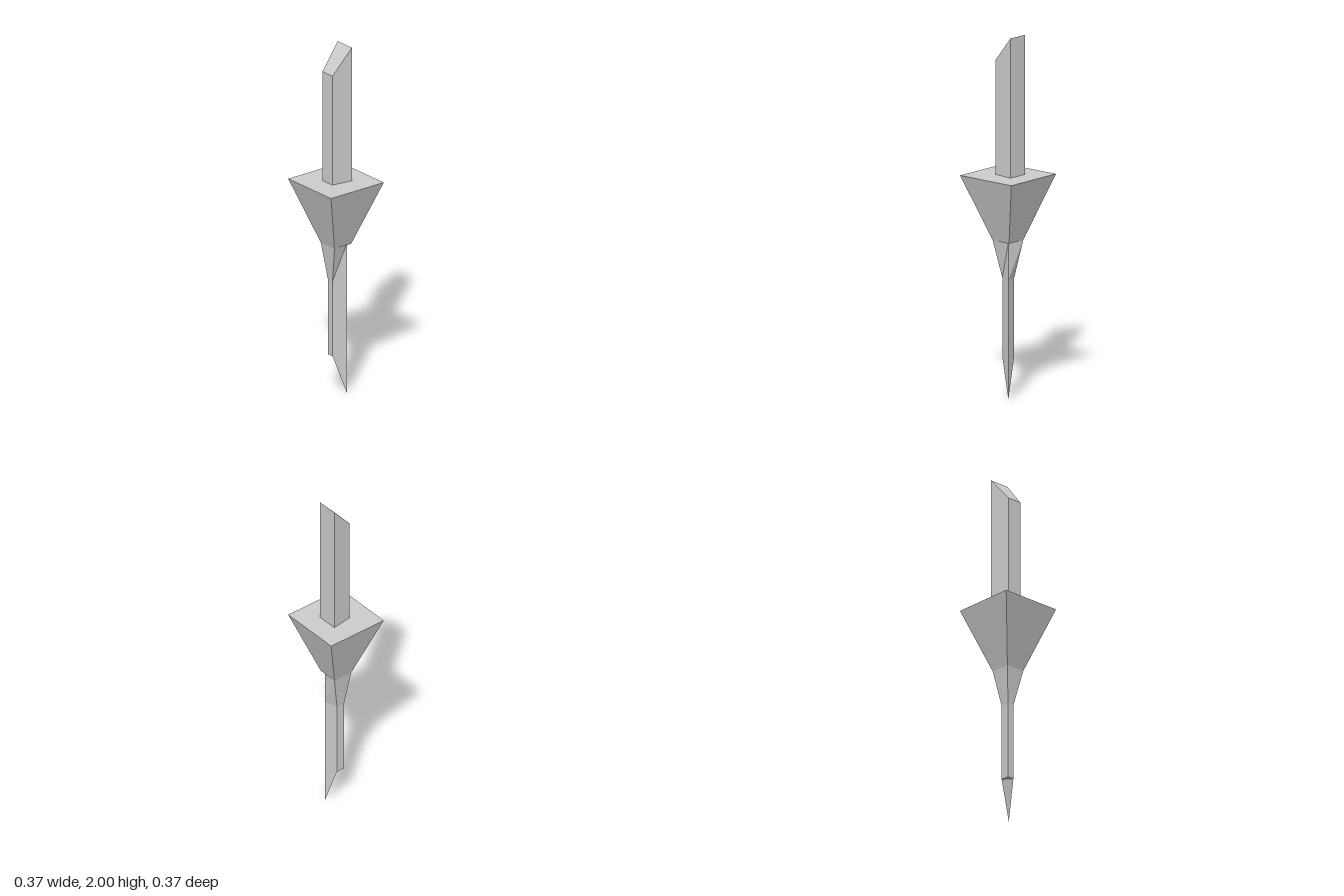
import * as THREE from 'three';

const material = new THREE.MeshStandardMaterial({ color: 0xcccccc, flatShading: true });

// Lofts four-cornered rings [x, y, z], listed bottom to top and counterclockwise from above
function loft(name, rings) {
  const points = [];
  const tri = (a, b, c) => points.push(...a, ...b, ...c);
  for (let r = 0; r < rings.length - 1; r++) {
    const low = rings[r], high = rings[r + 1];
    for (let i = 0; i < 4; i++) {
      const j = (i + 1) % 4;
      tri(low[i], low[j], high[j]);
      tri(low[i], high[j], high[i]);
    }
  }
  const [a, b, c, d] = rings[0];
  tri(a, d, b);
  tri(b, d, c);
  const [e, f, g, h] = rings[rings.length - 1];
  tri(e, f, g);
  tri(e, g, h);
  const geometry = new THREE.BufferGeometry();
  geometry.setAttribute('position', new THREE.Float32BufferAttribute(points, 3));
  geometry.computeVertexNormals();
  const mesh = new THREE.Mesh(geometry, material);
  mesh.name = name;
  return mesh;
}

// Puts a flat outline of [x, z] corners at a height, or at one height per corner
const ring = (outline, y) => outline.map(([x, z], i) => [x, Array.isArray(y) ? y[i] : y, z]);
const square = (s) => [[s, s], [s, -s], [-s, -s], [-s, s]];

export function createModel() {
  const group = new THREE.Group();

  // Upper bar: trapezoid section with a slanted top
  const bar = [[0.065, 0.056], [0.065, -0.065], [-0.056, -0.047], [-0.056, 0.038]];
  group.add(loft('upperBar', [ring(bar, 1.228), ring(bar, [2, 2, 1.86, 1.86])]));

  // Square collar narrowing downwards
  group.add(loft('collar', [ring(square(0.058), 0.865), ring(square(0.183), 1.228)]));

  // Kite-section shaft: one corner runs down to the point, the others flare into the collar
  const shaft = [[0.04, 0.043], [0.018, -0.03], [-0.032, -0.03], [-0.032, 0.01]];
  const flare = [shaft[0], ...square(0.058).slice(1)];
  group.add(loft('pointedShaft', [
    ring(shaft, [0, 0.22, 0.22, 0.22]),
    ring(shaft, 0.655),
    ring(flare, 0.865),
  ]));

  return group;
}
